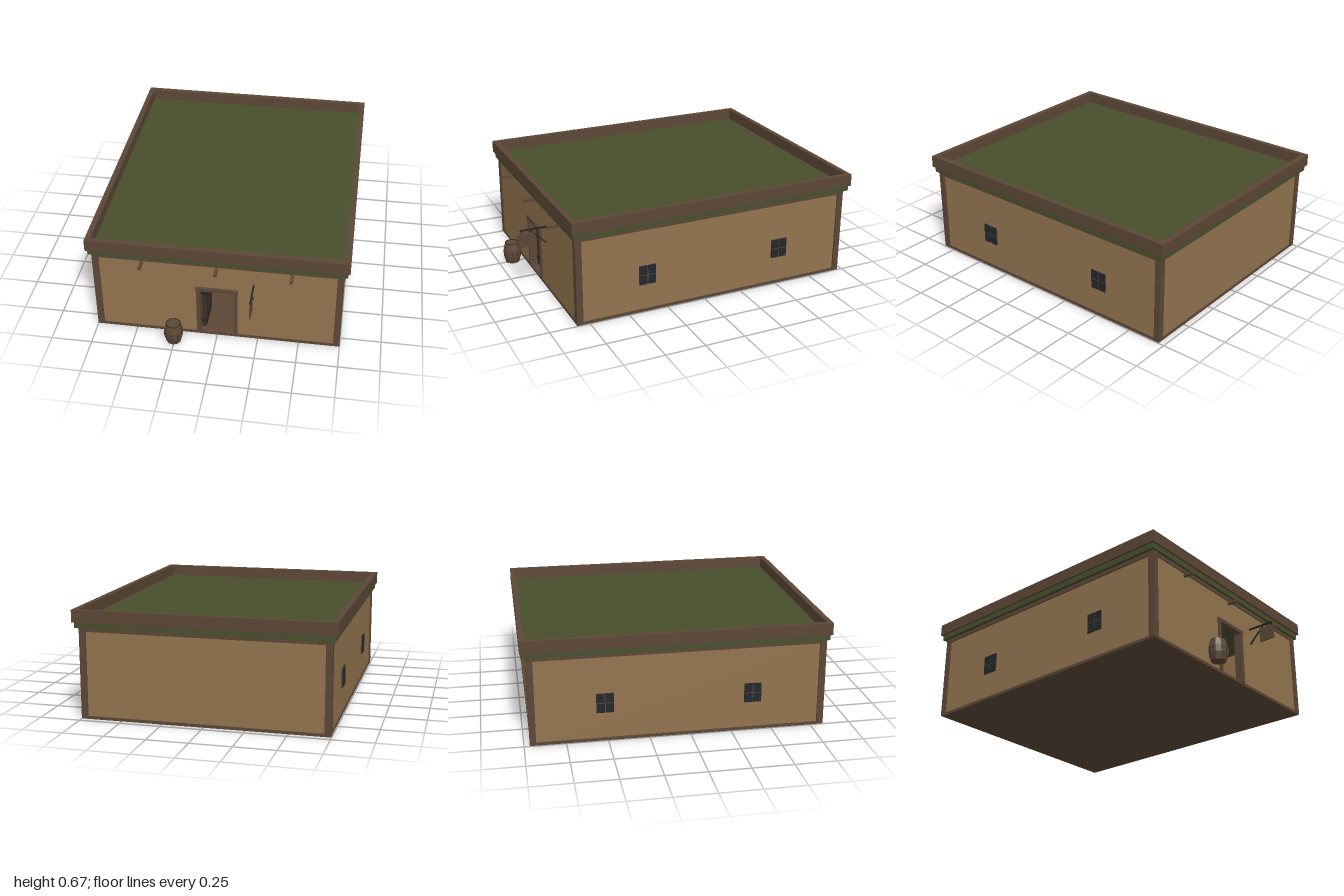
import * as THREE from 'three';

const mat = (name, color) => {
  const m = new THREE.MeshStandardMaterial({ color, flatShading: true });
  m.name = name;
  return m;
};

export function createModel() {
  const root = new THREE.Group();
  root.name = 'flatRoofedHouse';
  const plaster = mat('plaster', 0x93744f);
  const timber = mat('timber', 0x5c4736);
  const turf = mat('turf', 0x484f2c);
  const darkWood = mat('darkWood', 0x3d3024);
  const iron = mat('iron', 0x222326);
  const glass = mat('glass', 0x23272b);
  const paleWood = mat('paleWood', 0x86673f);

  // box given by its limits on each axis
  function box(name, m, x0, x1, y0, y1, z0, z1, parent = root) {
    const mesh = new THREE.Mesh(new THREE.BoxGeometry(x1 - x0, y1 - y0, z1 - z0), m);
    mesh.position.set((x0 + x1) / 2, (y0 + y1) / 2, (z0 + z1) / 2);
    mesh.name = name;
    parent.add(mesh);
    return mesh;
  }
  function group(name) {
    const g = new THREE.Group();
    g.name = name;
    root.add(g);
    return g;
  }

  // floor and walls
  box('floor', timber, -0.745, 0.745, 0, 0.018, -0.962, 0.827);
  box('backWall', plaster, -0.74, 0.74, 0.018, 0.555, -0.957, -0.92);
  for (const s of [-1, 1]) {
    const x = s * 0.722;
    box('sideWall', plaster, x - 0.018, x + 0.018, 0.004, 0.555, -0.92, 0.785);
  }
  const face = new THREE.Shape();
  face.moveTo(-0.74, 0.018);
  face.lineTo(-0.105, 0.018);
  face.lineTo(-0.105, 0.348);
  face.lineTo(0.105, 0.348);
  face.lineTo(0.105, 0.018);
  face.lineTo(0.74, 0.018);
  face.lineTo(0.74, 0.555);
  face.lineTo(-0.74, 0.555);
  const front = new THREE.Mesh(
    new THREE.ExtrudeGeometry(face, { depth: 0.037, bevelEnabled: false }), plaster);
  front.position.z = 0.785;
  front.name = 'frontWall';
  root.add(front);

  // corner posts and the beam under the roof
  for (const s of [-1, 1]) {
    const x = s * 0.73;
    box('frontPost', timber, x - 0.02, x + 0.02, 0.004, 0.555, 0.79, 0.83);
    box('backPost', timber, x - 0.02, x + 0.02, 0.004, 0.555, -0.966, -0.928);
    box('sideBeam', timber, x - 0.018, x + 0.018, 0.53, 0.556, -0.92, 0.785);
  }
  box('frontBeam', timber, -0.748, 0.748, 0.53, 0.556, 0.785, 0.828);
  box('backBeam', timber, -0.748, 0.748, 0.53, 0.556, -0.964, -0.92);

  // turf roof and parapet
  box('turfRoof', turf, -0.768, 0.768, 0.555, 0.594, -0.988, 0.843);
  const parapet = group('parapet');
  box('parapetFront', timber, -0.78, 0.78, 0.59, 0.665, 0.82, 0.855, parapet);
  box('parapetBack', timber, -0.78, 0.78, 0.59, 0.665, -1, -0.968, parapet);
  for (const s of [-1, 1]) {
    const x = s * 0.763;
    box('parapetSide', timber, x - 0.017, x + 0.017, 0.59, 0.665, -0.968, 0.82, parapet);
  }

  // roof beam ends over the door
  for (const x of [-0.45, 0, 0.446])
    box('beamEnd', timber, x - 0.009, x + 0.009, 0.508, 0.526, 0.815, 0.888);

  // door frame
  const frame = group('doorFrame');
  for (const s of [-1, 1])
    box('doorJamb', timber, s * 0.114 - 0.011, s * 0.114 + 0.011, 0.018, 0.348, 0.783, 0.834, frame);
  box('doorLintel', timber, -0.128, 0.128, 0.346, 0.368, 0.783, 0.837, frame);

  // door standing open inwards
  const door = group('openDoor');
  box('doorLeaf', darkWood, -0.1, -0.072, 0.022, 0.335, 0.59, 0.785, door);
  for (const y of [0.07, 0.285])
    box('doorStrap', iron, -0.103, -0.066, y - 0.01, y + 0.01, 0.62, 0.787, door);

  // counter, shelf and bottle indoors
  box('counter', timber, -0.4, 0.4, 0.018, 0.18, 0.1, 0.24);
  box('counterTop', iron, -0.41, 0.41, 0.18, 0.192, 0.09, 0.26);
  box('shelf', paleWood, -0.4, 0.4, 0.252, 0.264, -0.92, -0.82);
  const bottle = new THREE.Mesh(new THREE.LatheGeometry([
    [0, 0], [0.012, 0], [0.012, 0.02], [0.005, 0.028], [0.005, 0.04], [0, 0.04],
  ].map(([r, y]) => new THREE.Vector2(r, y)), 8), paleWood);
  bottle.position.set(0.025, 0.264, -0.87);
  bottle.name = 'bottle';
  root.add(bottle);

  // four-pane windows on both sides
  for (const s of [-1, 1]) {
    for (const z of [0.38, -0.515]) {
      const win = group('sideWindow');
      const x = s * 0.744;
      box('glazingBars', timber, x - 0.004, x + 0.004, 0.182, 0.302, z - 0.052, z + 0.052, win);
      for (const dy of [-1, 1])
        for (const dz of [-1, 1]) {
          const y = 0.242 + dy * 0.0315, pz = z + dz * 0.0275;
          box('pane', glass, x + s * 0.003 - 0.004, x + s * 0.003 + 0.004,
            y - 0.0285, y + 0.0285, pz - 0.0245, pz + 0.0245, win);
        }
    }
  }

  // hanging sign with bracket
  const sign = group('hangingSign');
  box('signArm', iron, 0.217, 0.226, 0.416, 0.425, 0.82, 0.99, sign);
  const brace = box('signBrace', iron, 0.218, 0.225, 0, 0.142, 0, 0.007, sign);
  brace.position.set(0.2215, 0.366, 0.876);
  brace.rotation.x = Math.atan2(0.1, 0.1);
  box('signBoard', timber, 0.217, 0.226, 0.31, 0.4, 0.9, 1, sign);
  for (const z of [0.918, 0.978])
    box('signHook', iron, 0.22, 0.223, 0.398, 0.418, z - 0.0015, z + 0.0015, sign);

  // barrel with bulging staves
  const barrel = group('barrel');
  barrel.position.set(-0.256, 0, 0.908);
  const part = (name, m, points) => {
    const mesh = new THREE.Mesh(
      new THREE.LatheGeometry(points.map(([r, y]) => new THREE.Vector2(r, y)), 10), m);
    mesh.name = name;
    barrel.add(mesh);
  };
  part('staves', timber, [[0, 0], [0.045, 0], [0.0565, 0.045], [0.0565, 0.09], [0.045, 0.135], [0.041, 0.135], [0.041, 0.131], [0, 0.131]]);
  for (let i = 0; i < 10; i++) {
    const a = (i / 10) * Math.PI * 2;
    const seam = new THREE.Mesh(new THREE.BoxGeometry(0.003, 0.046, 0.004), darkWood);
    seam.position.set(Math.sin(a) * 0.056, 0.0675, Math.cos(a) * 0.056);
    seam.rotation.y = a;
    seam.name = 'staveSeam';
    barrel.add(seam);
  }
  part('topRim', darkWood, [[0.041, 0.131], [0.0465, 0.131], [0.0455, 0.137], [0.041, 0.137], [0.041, 0.131]]);
  return root;
}
